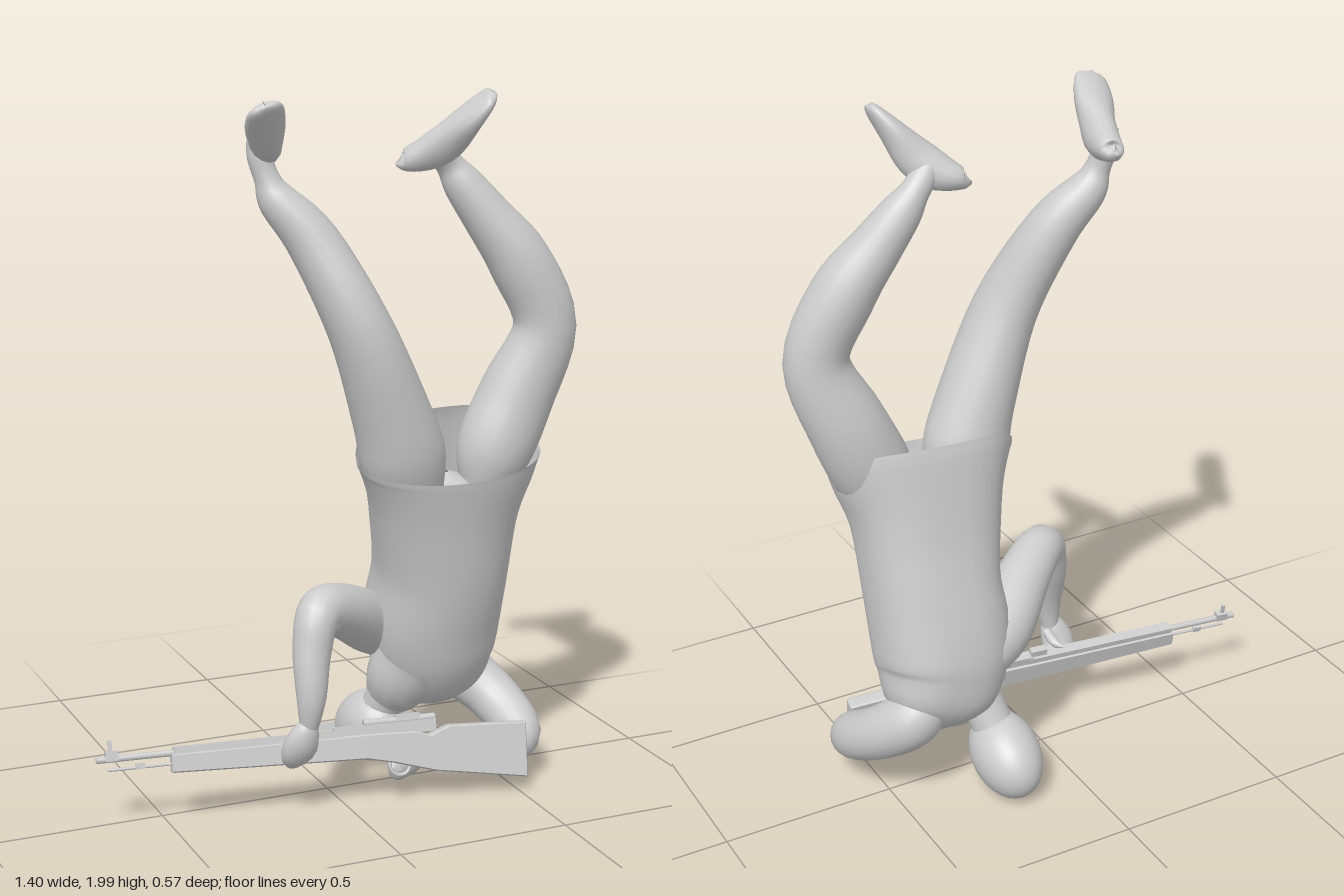
import * as THREE from 'three';

const grey = new THREE.MeshStandardMaterial({ color: 0xcccccc, side: THREE.DoubleSide });
grey.name = 'plain grey';

const V = (x, y, z) => new THREE.Vector3(x, y, z);

function add(parent, name, geometry, x = 0, y = 0, z = 0) {
  const mesh = new THREE.Mesh(geometry, grey);
  mesh.name = name;
  mesh.position.set(x, y, z);
  parent.add(mesh);
  return mesh;
}

// Smooth skin through sections [x, y, z, r1, r2]; r2 lies along ref, and
// a backPower below 1 squares off the half facing away from ref
function loft(sections, ref = V(0, 0, 1), sides = 20, steps = 5, backPower = 1) {
  const path = new THREE.CatmullRomCurve3(sections.map(s => V(s[0], s[1], s[2])), false, 'catmullrom');
  const size = new THREE.CatmullRomCurve3(sections.map(s => V(s[3], s[4] ?? s[3], 0)), false, 'catmullrom');
  const rings = (sections.length - 1) * steps;
  const pos = [], index = [];
  for (let i = 0; i <= rings; i++) {
    const c = path.getPoint(i / rings), t = path.getTangent(i / rings), r = size.getPoint(i / rings);
    const u = ref.clone().cross(t).normalize(), v = t.clone().cross(u);
    for (let j = 0; j < sides; j++) {
      const a = j / sides * Math.PI * 2, power = Math.sin(a) < 0 ? backPower : 1;
      const shape = w => Math.sign(w) * Math.abs(w) ** power;
      const p = c.clone()
        .addScaledVector(u, shape(Math.cos(a)) * Math.max(r.x, 0.001))
        .addScaledVector(v, shape(Math.sin(a)) * Math.max(r.y, 0.001));
      pos.push(p.x, p.y, p.z);
      if (i < rings) {
        const k = i * sides + j, n = i * sides + (j + 1) % sides;
        index.push(k, n, k + sides, n, n + sides, k + sides);
      }
    }
  }
  const g = new THREE.BufferGeometry();
  g.setAttribute('position', new THREE.Float32BufferAttribute(pos, 3));
  g.setIndex(index);
  g.computeVertexNormals();
  return g;
}

// Wedge foot hanging below a straight sole line: [position, half height, half width]
function foot(heel, toe, up) {
  const profile = [[0, 0.016, 0.001], [0.03, 0.03, 0.034], [0.25, 0.052, 0.042], [0.45, 0.053, 0.046],
    [0.72, 0.034, 0.057], [0.95, 0.018, 0.045], [1, 0.01, 0.001]];
  return loft(profile.map(([t, h, w]) => {
    const p = heel.clone().lerp(toe, t).addScaledVector(up, -h);
    return [p.x, p.y, p.z, w, h];
  }), up, 14, 4);
}

// Shirt tube whose hem rises across the back
function shirt() {
  const g = loft([
    [0.32, 0.992, 0.121, 0.27, 0.166], [0.322, 0.95, 0.111, 0.255, 0.168], [0.325, 0.83, 0.083, 0.215, 0.17],
    [0.335, 0.65, 0.042, 0.192, 0.178], [0.33, 0.5, 0.003, 0.195, 0.178], [0.345, 0.39, -0.025, 0.182, 0.168],
    [0.385, 0.3, -0.06, 0.14, 0.125], [0.41, 0.24, -0.08, 0.03, 0.03], [0.41, 0.235, -0.08, 0.001, 0.001],
  ], V(0, 0, 1), 36, 5, 0.78);
  const p = g.attributes.position;
  for (let i = 0; i < p.count; i++) {
    const height = THREE.MathUtils.clamp((p.getY(i) - 0.8) / 0.19, 0, 1);
    const back = 1 - THREE.MathUtils.smoothstep(p.getZ(i), -0.03, 0.08);
    p.setY(i, p.getY(i) + 0.06 * height * back);
  }
  g.computeVertexNormals();
  return g;
}

function buildRifle() {
  const gun = new THREE.Group();
  gun.name = 'rifle';
  const box = (name, x, y, z, w, h, d) => add(gun, name, new THREE.BoxGeometry(w, h, d), x, y, z);
  const rod = (name, x0, x1, y, r) =>
    add(gun, name, new THREE.CylinderGeometry(r, r, x1 - x0, 10).rotateZ(Math.PI / 2), (x0 + x1) / 2, y, 0);

  // Stock outline, forend to butt
  const outline = [[-0.5, 0.168], [0.05, 0.148], [0.13, 0.13], [0.25, 0.095], [0.52, 0.05],
    [0.525, 0.2], [0.3, 0.212], [0.24, 0.19], [0.2, 0.205], [0.06, 0.21], [-0.5, 0.212]];
  const stock = new THREE.ExtrudeGeometry(new THREE.Shape(outline.map(p => new THREE.Vector2(...p))),
    { depth: 0.03, bevelThickness: 0.006, bevelSize: 0.004, bevelSegments: 1 });
  add(gun, 'stock', stock, 0, 0, -0.015);

  box('handguard', -0.26, 0.219, 0, 0.47, 0.025, 0.032);
  box('receiver', 0.11, 0.222, 0, 0.3, 0.034, 0.03);
  rod('barrel', -0.71, -0.4, 0.217, 0.009);
  rod('cleaningRod', -0.68, -0.48, 0.187, 0.004);
  rod('bolt', 0.05, 0.26, 0.243, 0.011);
  box('rodCatch', -0.59, 0.19, 0, 0.025, 0.016, 0.012);
  box('frontSightBase', -0.668, 0.225, 0, 0.035, 0.026, 0.022);
  box('frontSight', -0.67, 0.25, 0, 0.01, 0.035, 0.008);
  box('rearSight', -0.06, 0.246, 0, 0.05, 0.02, 0.022);
  box('scopeRail', 0.18, 0.25, 0, 0.07, 0.018, 0.02);
  box('boltHandle', 0.2, 0.235, -0.03, 0.015, 0.012, 0.05);
  add(gun, 'triggerGuard', new THREE.TorusGeometry(0.03, 0.005, 6, 16), 0.15, 0.118, 0);
  box('trigger', 0.15, 0.12, 0, 0.006, 0.03, 0.006);

  // Rolled about the barrel so the underside swings forward
  gun.rotation.set(-0.25, -0.125, 0, 'YXZ');
  gun.position.set(0, 0.007, 0.176);
  return gun;
}

export function createModel() {
  const model = new THREE.Group();
  model.name = 'upsideDownFigure';

  add(model, 'shirt', shirt());

  // Neck, collar and head
  add(model, 'neck', loft([[0.27, 0.42, -0.02, 0.07], [0.24, 0.3, -0.05, 0.062], [0.2, 0.15, -0.12, 0.06]]));
  add(model, 'collar', loft([[0.255, 0.38, 0.025, 0.115, 0.1], [0.23, 0.32, 0.0, 0.105, 0.095],
    [0.215, 0.265, -0.035, 0.08, 0.08]], V(0, 0, 1), 14));
  const head = add(model, 'head', new THREE.SphereGeometry(1, 28, 20), 0.2, 0.124, -0.15);
  head.scale.set(0.097, 0.106, 0.14);
  head.rotation.x = -0.45;

  // Legs point upward from inside the hem
  add(model, 'rightLeg', loft([
    [0.24, 0.86, 0.09, 0.07], [0.19, 0.98, 0.1, 0.12, 0.108], [0.142, 1.12, 0.115, 0.11], [0.042, 1.37, 0.125, 0.087, 0.1],
    [-0.065, 1.6, 0.06, 0.072, 0.076], [-0.15, 1.71, 0.02, 0.054, 0.056], [-0.178, 1.77, 0.01, 0.035],
    [-0.195, 1.83, 0.0, 0.034], [-0.2, 1.88, 0.0, 0.03],
  ]));
  add(model, 'leftLeg', loft([
    [0.42, 0.86, 0.1, 0.05], [0.463, 0.98, 0.096, 0.108, 0.098], [0.535, 1.14, 0.095, 0.11, 0.1], [0.608, 1.34, 0.12, 0.09, 0.083],
    [0.535, 1.52, 0.1, 0.087, 0.088], [0.45, 1.64, 0.075, 0.069, 0.072], [0.38, 1.735, 0.055, 0.055],
    [0.345, 1.785, 0.048, 0.04], [0.315, 1.82, 0.055, 0.036], [0.28, 1.86, 0.07, 0.03],
  ]));
  add(model, 'crotch', loft([[0.32, 0.8, 0.07, 0.12, 0.1], [0.32, 0.9, 0.08, 0.09, 0.09],
    [0.32, 0.94, 0.085, 0.01, 0.01]]));

  // Feet with flat soles turned up
  add(model, 'rightFoot', foot(V(-0.17, 1.872, -0.105), V(-0.25, 1.99, 0.165), V(-0.25, 0.89, -0.39)));
  add(model, 'leftFoot', foot(V(0.19, 1.82, 0.03), V(0.395, 2.0, 0.18), V(-0.7, 0.7, 0.1)));

  // Right arm reaches the forend
  add(model, 'rightArm', loft([
    [0.27, 0.43, -0.08, 0.09], [0.16, 0.475, -0.05, 0.09], [0.03, 0.555, 0.05, 0.078], [-0.075, 0.59, 0.125, 0.064],
    [-0.112, 0.49, 0.155, 0.054], [-0.125, 0.37, 0.182, 0.042], [-0.132, 0.28, 0.18, 0.026], [-0.135, 0.25, 0.17, 0.02],
  ], V(0.6, 0.1, 0.8)));
  add(model, 'rightHand', loft([
    [-0.13, 0.305, 0.185, 0.015], [-0.14, 0.27, 0.18, 0.038, 0.03], [-0.152, 0.22, 0.165, 0.05, 0.036],
    [-0.15, 0.18, 0.135, 0.044, 0.028], [-0.145, 0.168, 0.1, 0.001],
  ], V(0, 0.3, 1), 14));
  add(model, 'rightThumb', loft([[-0.11, 0.27, 0.16, 0.014], [-0.115, 0.25, 0.12, 0.015],
    [-0.13, 0.245, 0.085, 0.001]], V(1, 0, 0), 10));

  // Left arm folds behind the stock to the trigger
  add(model, 'leftArm', loft([
    [0.4, 0.36, -0.07, 0.06], [0.455, 0.295, -0.085, 0.082], [0.53, 0.215, 0.0, 0.076], [0.55, 0.145, 0.12, 0.068],
    [0.47, 0.115, 0.15, 0.055], [0.36, 0.12, 0.12, 0.045], [0.27, 0.125, 0.1, 0.028], [0.24, 0.125, 0.1, 0.022],
  ], V(0, 0.8, 0.6)));
  add(model, 'leftHand', loft([
    [0.28, 0.125, 0.1, 0.018], [0.24, 0.12, 0.105, 0.032, 0.04], [0.19, 0.115, 0.125, 0.036, 0.05],
    [0.145, 0.11, 0.15, 0.026, 0.042], [0.125, 0.11, 0.165, 0.001],
  ], V(0, 1, 0), 14));

  model.add(buildRifle());
  return model;
}
